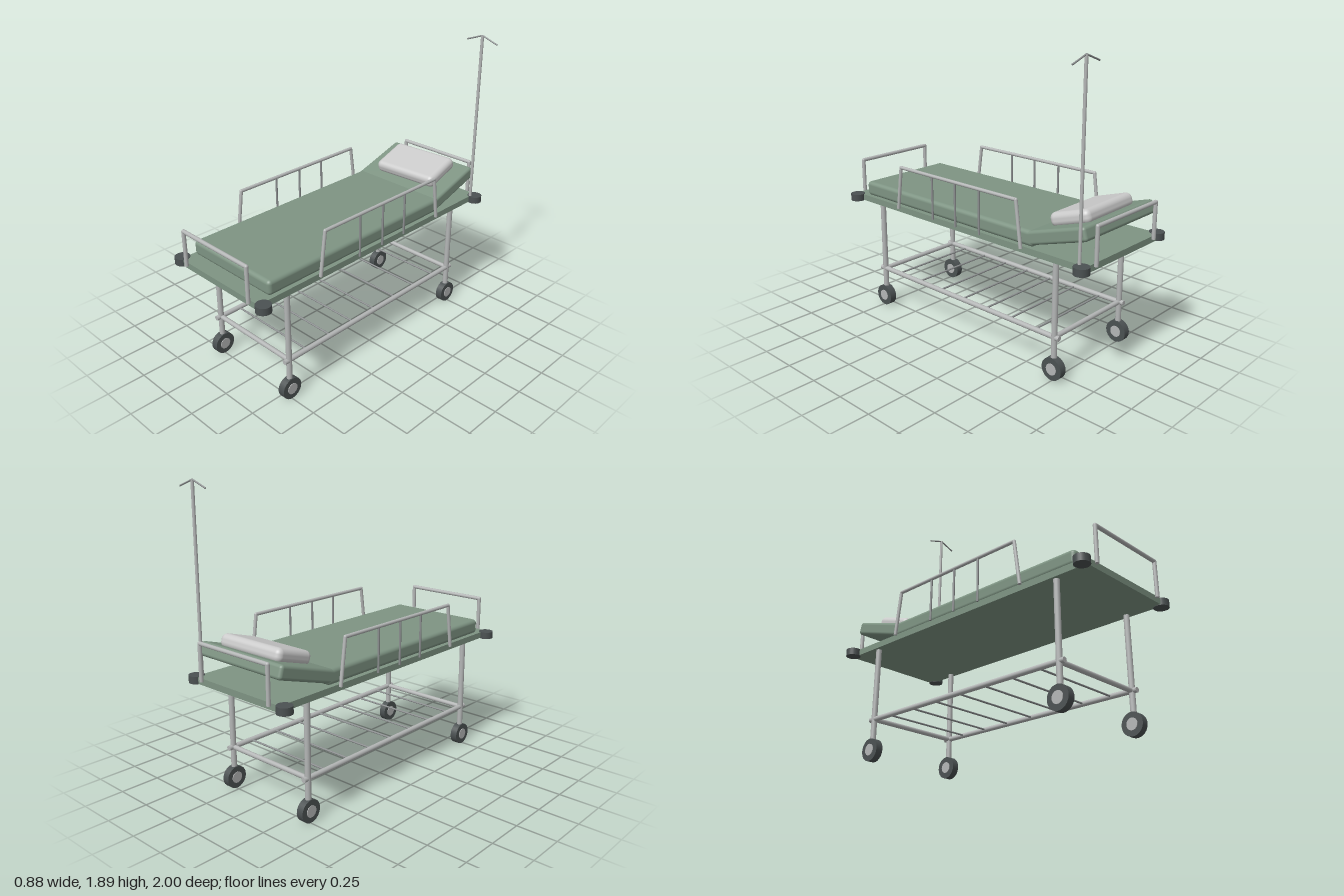
import * as THREE from 'three';
import { RoundedBoxGeometry } from 'three/addons/geometries/RoundedBoxGeometry.js';

const mat = (name, color) => Object.assign(new THREE.MeshStandardMaterial({ color }), { name });

export function createModel() {
  const green = mat('green vinyl', 0x7e9483);
  const metal = mat('light metal', 0xb4b6b6);
  const steel = mat('thin steel', 0x8c8f90);
  const rubber = mat('dark rubber', 0x4b5152);
  const linen = mat('pillow linen', 0xcacaca);

  const model = new THREE.Group();
  model.name = 'hospitalBed';
  const bed = new THREE.Group();
  bed.name = 'bed';
  bed.position.x = -0.027;
  model.add(bed);

  const add = (parent, name, geometry, material, x = 0, y = 0, z = 0) => {
    const mesh = new THREE.Mesh(geometry, material);
    mesh.name = name;
    mesh.position.set(x, y, z);
    parent.add(mesh);
    return mesh;
  };

  // Straight round bar between two points
  const bar = (parent, name, from, to, radius, material = metal) => {
    const a = new THREE.Vector3(...from), b = new THREE.Vector3(...to);
    const d = b.clone().sub(a);
    const mesh = add(parent, name, new THREE.CylinderGeometry(radius, radius, d.length(), 14), material);
    mesh.position.copy(a).add(b).multiplyScalar(0.5);
    mesh.quaternion.setFromUnitVectors(new THREE.Vector3(0, 1, 0), d.normalize());
    return mesh;
  };

  // Bars through a list of points, with round joints at the bends
  const pipe = (parent, name, points, radius, material = metal) => {
    points.slice(1).forEach((p, i) => bar(parent, name, points[i], p, radius, material));
    points.slice(1, -1).forEach((p) =>
      add(parent, name + 'Joint', new THREE.SphereGeometry(radius, 12, 8), material, ...p));
  };

  // Deck and mattress, with a raised head section and a pillow
  const TILT = 0.3;
  add(bed, 'deck', new THREE.BoxGeometry(0.708, 0.04, 1.95), green, 0, 0.75, 0);
  add(bed, 'mattress', new RoundedBoxGeometry(0.68, 0.095, 1.475, 4, 0.025), green, 0, 0.8175, 0.1475);
  add(bed, 'raisedHeadMattress', new RoundedBoxGeometry(0.68, 0.085, 0.43, 4, 0.02), green, 0, 0.877, -0.742)
    .rotation.x = TILT;
  const pillow = add(bed, 'pillow', new RoundedBoxGeometry(0.475, 0.085, 0.275, 5, 0.035), linen, 0.002, 0.954, -0.745);
  pillow.rotation.set(TILT, 0.045, 0);

  const tyre = new THREE.CylinderGeometry(0.07, 0.07, 0.046, 32).rotateZ(Math.PI / 2);
  const hub = new THREE.CylinderGeometry(0.036, 0.036, 0.054, 24).rotateZ(Math.PI / 2);
  const bumper = new THREE.CylinderGeometry(0.047, 0.047, 0.045, 24);

  // Corners: leg, wheel and bumper
  for (const sx of [-1, 1]) {
    for (const sz of [-1, 1]) {
      const x = sx * 0.321, z = sz * 0.744;
      bar(bed, 'leg', [x, 0.1, z], [x, 0.735, z], 0.018);
      add(bed, 'tyre', tyre, rubber, x, 0.07, z);
      add(bed, 'wheelHub', hub, metal, x, 0.07, z);
      add(bed, 'cornerBumper', bumper, rubber, sx * 0.369, 0.75, sz * 0.953);
    }
  }

  // Lower rack: two long rails, two end rails and thin slats
  for (const s of [-1, 1]) {
    bar(bed, 'rackSideRail', [s * 0.321, 0.266, -0.78], [s * 0.321, 0.266, 0.78], 0.016);
    bar(bed, 'rackEndRail', [-0.335, 0.266, s * 0.744], [0.335, 0.266, s * 0.744], 0.015);
  }
  for (let i = -3; i <= 3; i++) {
    bar(bed, 'rackSlat', [-0.321, 0.266, i * 0.2], [0.321, 0.266, i * 0.2], 0.006, steel);
  }

  // Side guards with thin uprights
  for (const s of [-1, 1]) {
    const x = s * 0.37;
    pipe(bed, 'sideGuard', [[x, 0.76, 0.525], [x, 1.042, 0.487], [x, 1.042, -0.487], [x, 0.76, -0.525]], 0.011);
    for (const z of [-0.2, 0, 0.2]) {
      bar(bed, 'guardUpright', [x, 0.76, z], [x, 1.042, z], 0.007, steel);
    }
  }

  // Head and foot hoops
  for (const s of [-1, 1]) {
    const z = s * 0.986, w = 0.282;
    pipe(bed, s < 0 ? 'headHoop' : 'footHoop',
      [[-w, 0.755, z], [-w, 0.984, z], [w, 0.984, z], [w, 0.755, z]], 0.0125);
  }

  // Drip stand with two drooping hooks
  const stand = new THREE.Group();
  stand.name = 'dripStand';
  stand.position.set(0.325, 0, -0.926);
  model.add(stand);
  bar(stand, 'pole', [0, 0.765, 0], [0, 1.885, 0], 0.01);
  for (const s of [-1, 1]) {
    bar(stand, 'hook', [0, 1.885, 0], [s * 0.112, 1.845, 0], 0.005, steel);
  }
  return model;
}
